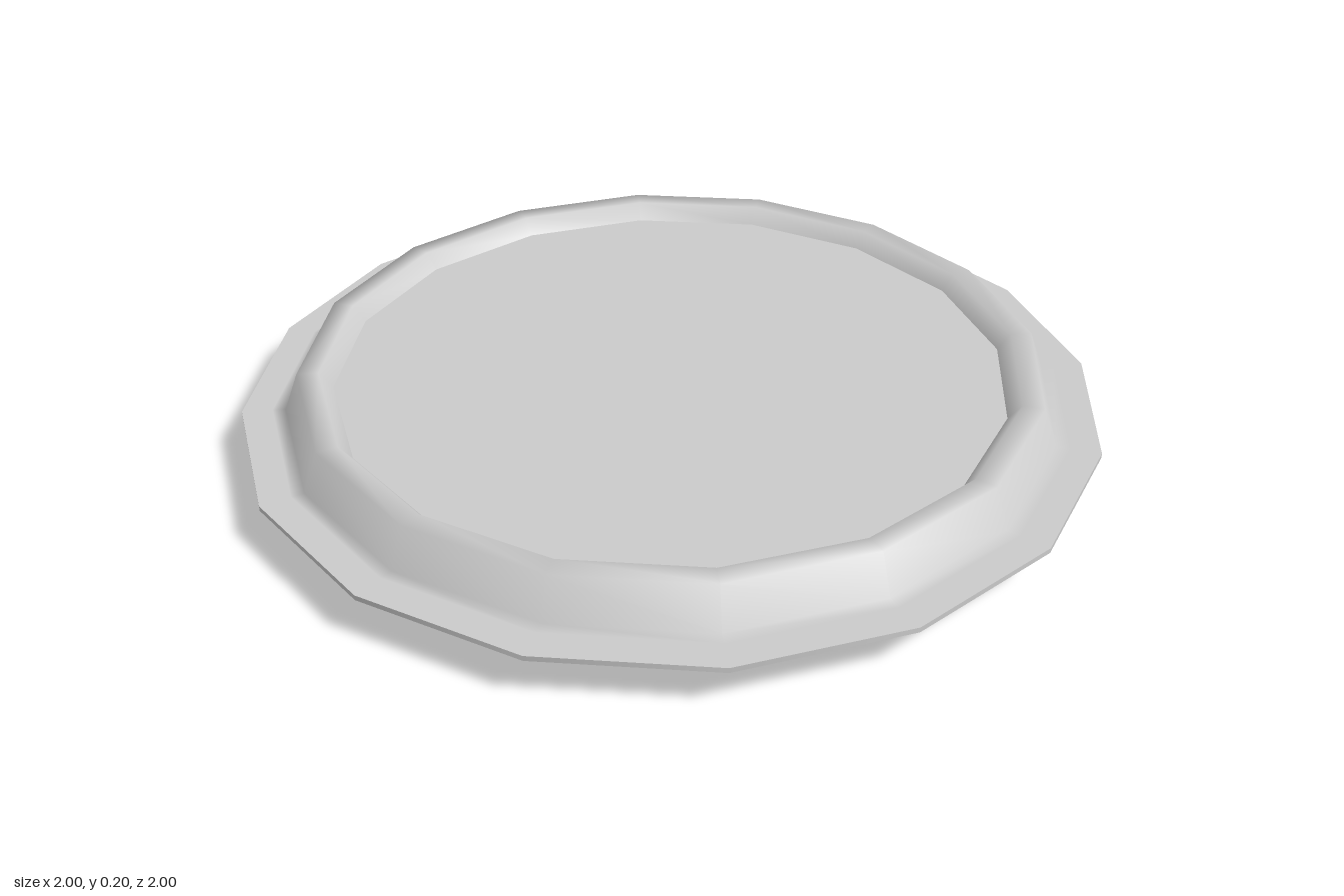
import * as THREE from 'three';

const SIDES = 16;

export function createModel() {
  const group = new THREE.Group();
  group.name = 'roundHatch';
  const material = new THREE.MeshStandardMaterial({ color: 0xcccccc });

  // Revolves a profile of [radius, height] points; smooth within one part, sharp between parts
  const addRing = (name, profile) => {
    const points = profile.map(([r, y]) => new THREE.Vector2(r, y));
    const mesh = new THREE.Mesh(new THREE.LatheGeometry(points, SIDES), material);
    mesh.name = name;
    group.add(mesh);
  };

  // Shallow underside: flat base, then a cone out to the edge
  addRing('base', [[0, 0], [0.465, 0]]);
  addRing('underside', [[0.465, 0], [1, 0.1]]);

  // Thin outer edge
  addRing('outerEdge', [[1, 0.1], [1, 0.112]]);

  // Flange flowing into the raised rim
  addRing('flangeAndRim', [
    [1, 0.112], [0.93, 0.112], [0.9, 0.112],
    [0.865, 0.205], [0.815, 0.205], [0.785, 0.166],
  ]);

  // Flat panel inside the rim
  addRing('panel', [[0.785, 0.166], [0, 0.166]]);

  return group;
}
